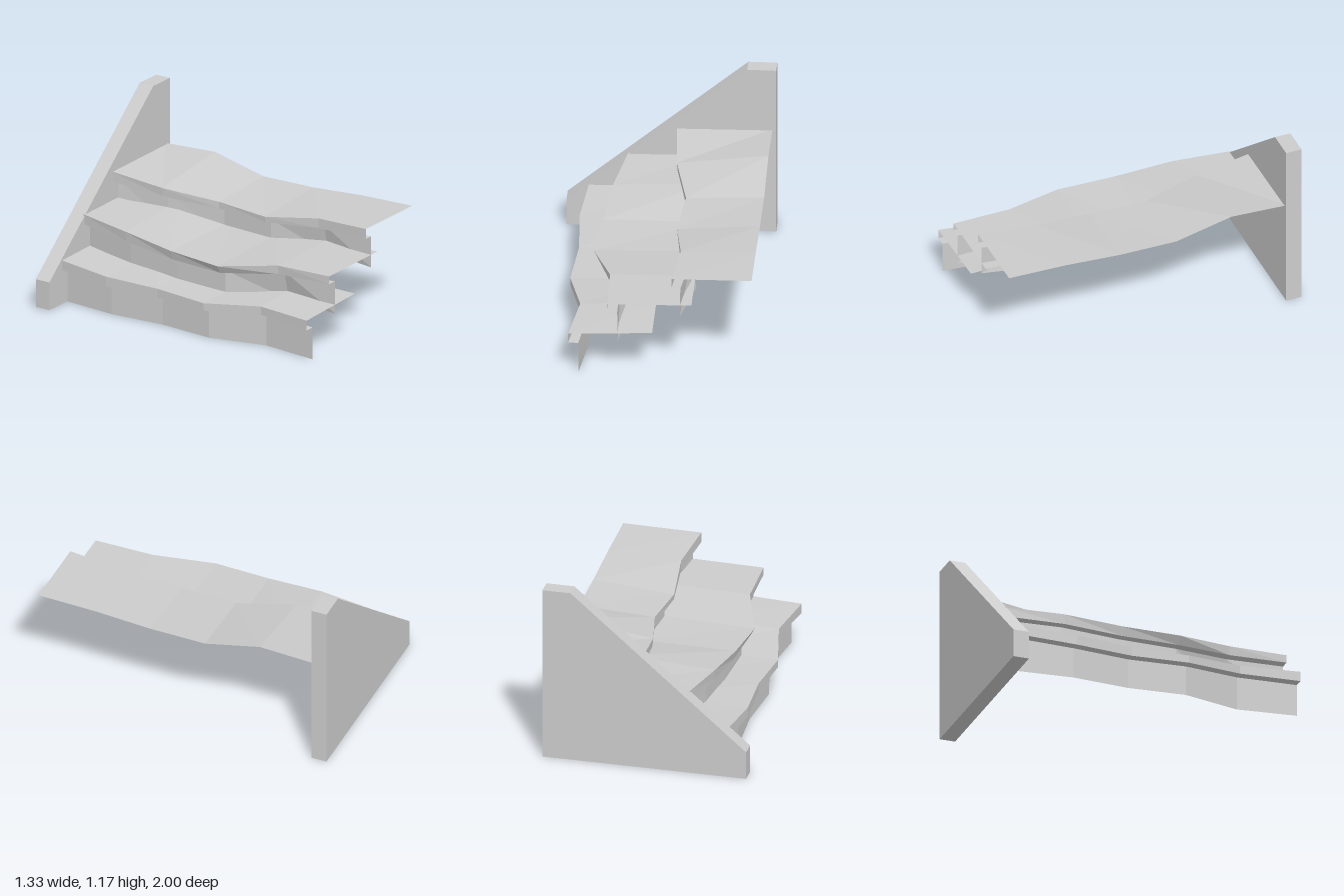
import * as THREE from 'three';

// Stations along the length of the stairs
const Z = [1, 0.61, 0.23, -0.15, -0.53, -0.91];

// One entry per station in every list
const STEPS = [
  {
    name: 'lowerStep', backX: 0.01,
    backY: [0.305, 0.31, 0.265, 0.27, 0.295, 0.31],
    noseX: [-0.525, -0.475, -0.565, -0.535, -0.56, -0.525],
    noseY: [0.28, 0.28, 0.25, 0.26, 0.27, 0.295],
    lipX: [-0.525, -0.475, -0.565, -0.535, -0.56, -0.525],
    lipY: [0.215, 0.225, 0.2, 0.2, 0.205, 0.23],
    riserX: [-0.46, -0.415, -0.505, -0.475, -0.5, -0.465],
    footX: [-0.46, -0.415, -0.505, -0.475, -0.5, -0.465],
    footY: [0, 0, 0, 0, 0, 0],
  },
  {
    name: 'middleStep', backX: 0.26,
    backY: [0.515, 0.51, 0.475, 0.475, 0.545, 0.54],
    noseX: [-0.275, -0.285, -0.415, -0.385, -0.345, -0.275],
    noseY: [0.505, 0.5, 0.455, 0.47, 0.51, 0.53],
    lipX: [-0.275, -0.28, -0.385, -0.37, -0.34, -0.275],
    lipY: [0.453, 0.44, 0.402, 0.41, 0.445, 0.465],
    riserX: [-0.212, -0.215, -0.325, -0.315, -0.285, -0.215],
    footX: [-0.21, -0.165, -0.325, -0.315, -0.285, -0.215],
    footY: [0.235, 0.235, 0.203, 0.203, 0.205, 0.232],
  },
  {
    name: 'upperStep', backX: 0.643,
    backY: [0.71, 0.7, 0.675, 0.67, 0.757, 0.738],
    noseX: [0.132, 0.165, 0.115, 0.145, 0.06, 0.035],
    noseY: [0.704, 0.685, 0.632, 0.646, 0.685, 0.728],
    lipX: [0.132, 0.165, 0.118, 0.145, 0.065, 0.035],
    lipY: [0.637, 0.62, 0.595, 0.6, 0.628, 0.66],
    riserX: [0.19, 0.23, 0.178, 0.205, 0.125, 0.1],
    footX: [0.185, 0.265, 0.178, 0.205, 0.12, 0.08],
    footY: [0.43, 0.428, 0.405, 0.405, 0.43, 0.43],
  },
];

const material = () => new THREE.MeshStandardMaterial({
  color: 0xcccccc, flatShading: true, side: THREE.DoubleSide,
});

// Joins two edge lines (one point per station) with a sheet
function sheet(name, edgeA, edgeB) {
  const positions = [];
  for (let i = 0; i < Z.length - 1; i++) {
    const a = edgeA[i], b = edgeB[i], c = edgeB[i + 1], d = edgeA[i + 1];
    positions.push(...a, ...d, ...b, ...b, ...d, ...c);
  }
  const geometry = new THREE.BufferGeometry();
  geometry.setAttribute('position', new THREE.Float32BufferAttribute(positions, 3));
  geometry.computeVertexNormals();
  const mesh = new THREE.Mesh(geometry, material());
  mesh.name = name;
  return mesh;
}

// Tread, nosing lip, lip underside and recessed riser
function buildStep(s) {
  const line = (x, y) => Z.map((z, i) => [Array.isArray(x) ? x[i] : x, y[i], z]);
  const back = line(s.backX, s.backY);
  const nose = line(s.noseX, s.noseY);
  const lip = line(s.lipX, s.lipY);
  const riserTop = line(s.riserX, s.lipY);
  const foot = line(s.footX, s.footY);
  const step = new THREE.Group();
  step.name = s.name;
  step.add(
    sheet('tread', back, nose),
    sheet('nosing', nose, lip),
    sheet('nosingUnderside', lip, riserTop),
    sheet('riser', riserTop, foot),
  );
  return step;
}

// Thick end wall with a sloping top edge
function buildWall() {
  const outline = [[-0.667, 0], [0.667, 0], [0.667, 1.173], [0.483, 1.173], [-0.667, 0.187]];
  const shape = new THREE.Shape(outline.map(([x, y]) => new THREE.Vector2(x, y)));
  const geometry = new THREE.ExtrudeGeometry(shape, { depth: 0.105, bevelEnabled: false });
  geometry.translate(0, 0, -1);
  const wall = new THREE.Mesh(geometry, material());
  wall.name = 'endWall';
  return wall;
}

export function createModel() {
  const model = new THREE.Group();
  model.name = 'wornStairs';
  model.add(buildWall(), ...STEPS.map(buildStep));
  return model;
}
